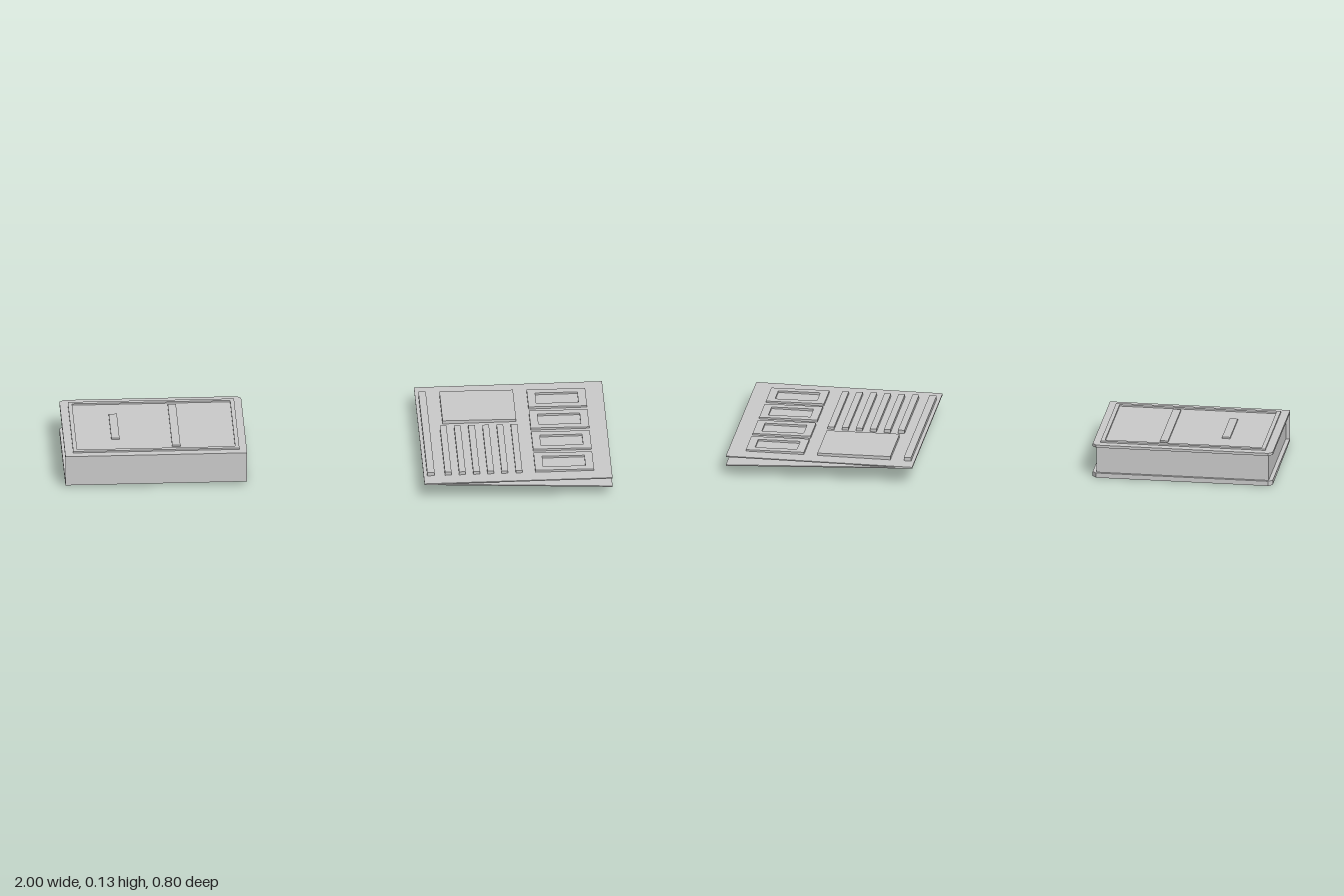
import * as THREE from 'three';

const material = new THREE.MeshStandardMaterial({ color: 0xcccccc, flatShading: true });

function add(parent, name, geometry) {
  const mesh = new THREE.Mesh(geometry, material);
  mesh.name = name;
  parent.add(mesh);
  return mesh;
}

// Box given by its extents on each axis
function block(parent, name, [x0, x1], [y0, y1], [z0, z1]) {
  const geometry = new THREE.BoxGeometry(x1 - x0, y1 - y0, z1 - z0);
  return add(parent, name, geometry.translate((x0 + x1) / 2, (y0 + y1) / 2, (z0 + z1) / 2));
}

function polygon(points) {
  return new THREE.Shape(points.map(([x, y]) => new THREE.Vector2(x, y)));
}

// Rectangular rim lying flat, extruded from y0 to y1
function rim(parent, name, [x0, x1], [y0, y1], [z0, z1], w) {
  const shape = polygon([[x0, -z1], [x1, -z1], [x1, -z0], [x0, -z0]]);
  shape.holes.push(polygon([[x0 + w, -z1 + w], [x0 + w, -z0 - w], [x1 - w, -z0 - w], [x1 - w, -z1 + w]]));
  const geometry = new THREE.ExtrudeGeometry(shape, { depth: y1 - y0, bevelEnabled: false });
  return add(parent, name, geometry.rotateX(-Math.PI / 2).translate(0, y0, 0));
}

// Cover board with clipped corners on its open side
function cover(parent, name, y0, y1, drop) {
  const c = 0.015, b = 0.235;
  const shape = polygon([[-1, -b], [-0.333, -b], [-0.333, b - c], [-0.333 - c, b], [-1 + c, b], [-1, b - c]]);
  const geometry = new THREE.ExtrudeGeometry(shape, { depth: y1 - y0, bevelEnabled: false });
  geometry.rotateX(-Math.PI / 2).translate(0, y0, 0);
  // The underside slopes down towards the open side
  const p = geometry.attributes.position;
  for (let i = 0; i < p.count; i++) {
    if (p.getY(i) < (y0 + y1) / 2) p.setY(i, y0 - drop * (b - p.getZ(i)) / (2 * b));
  }
  geometry.computeVertexNormals();
  return add(parent, name, geometry);
}

function createBook() {
  const book = new THREE.Group();
  book.name = 'book';
  cover(book, 'bottomCover', 0.01, 0.018, 0.01);
  cover(book, 'topCover', 0.117, 0.127, 0);
  block(book, 'pages', [-0.985, -0.348], [0.016, 0.118], [-0.225, 0.226]);
  block(book, 'spine', [-1, -0.333], [0.016, 0.12], [0.224, 0.235]);
  // Raised ornament on the top cover
  rim(book, 'coverBorder', [-0.97, -0.36], [0.126, 0.133], [-0.205, 0.205], 0.015);
  block(book, 'shortCoverBar', [-0.825, -0.795], [0.126, 0.133], [-0.1, 0.1]);
  block(book, 'longCoverBar', [-0.605, -0.575], [0.126, 0.133], [-0.17, 0.17]);
  return book;
}

function createNewspaper() {
  const paper = new THREE.Group();
  paper.name = 'newspaper';
  // Folded sheet: two thin leaves meeting at the fold
  const profile = polygon([[0.31, 0.061], [1, 0.037], [1, 0.041], [0.36, 0.063], [1, 0.071], [1, 0.075], [0.31, 0.066]]);
  const sheet = new THREE.ExtrudeGeometry(profile, { depth: 0.8, bevelEnabled: false });
  add(paper, 'foldedSheet', sheet.translate(0, 0, -0.4));

  // Raised print: footer bar, text lines, picture and headline blocks
  const y = [0.055, 0.08];
  block(paper, 'footerBar', [0.323, 0.35], y, [-0.335, 0.335]);
  for (let i = 0; i < 6; i++) {
    const x = 0.388 + i * 0.052;
    block(paper, 'textLine', [x, x + 0.024], y, [-0.05, 0.335]);
  }
  block(paper, 'picturePlate', [0.4, 0.67], y, [-0.335, -0.09]);
  for (let i = 0; i < 4; i++) {
    const z = -0.335 + i * 0.175;
    rim(paper, 'headlineBlock', [0.72, 0.935], y, [z, z + 0.145], 0.03);
  }
  return paper;
}

export function createModel() {
  const model = new THREE.Group();
  model.name = 'bookAndNewspaper';
  model.add(createBook(), createNewspaper());
  return model;
}
